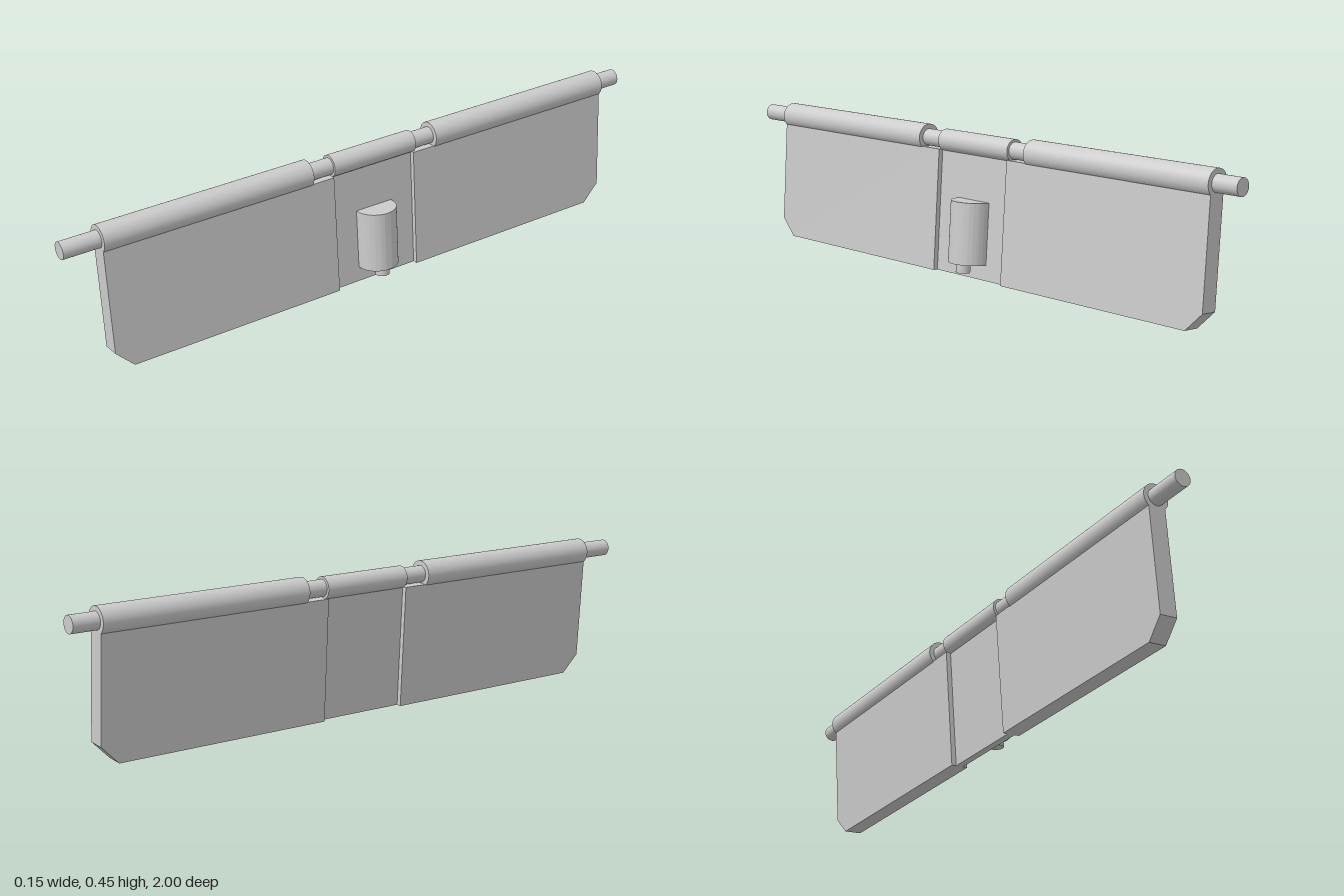
import * as THREE from 'three';
import { toCreasedNormals } from 'three/addons/utils/BufferGeometryUtils.js';

export function createModel() {
  const model = new THREE.Group();
  const material = new THREE.MeshStandardMaterial({ color: 0xcccccc });

  // The whole flap hangs from the rod axis, swung slightly outward
  const flap = new THREE.Group();
  flap.name = 'hingedFlap';
  flap.position.set(-0.034, 0.408, 0);
  flap.rotation.z = 0.065;
  model.add(flap);

  const add = (name, geometry) => {
    const mesh = new THREE.Mesh(geometry, material);
    mesh.name = name;
    flap.add(mesh);
    return mesh;
  };

  // Cylinder lying along z between two ends
  const barrel = (name, radius, z0, z1) => {
    const geometry = new THREE.CylinderGeometry(radius, radius, z1 - z0, 48);
    geometry.rotateX(Math.PI / 2);
    add(name, geometry).position.z = (z0 + z1) / 2;
  };

  // Upright plate from a (z, y) outline, centred on x = 0
  const plate = (name, outline, thickness) => {
    const shape = new THREE.Shape(outline.map(([z, y]) => new THREE.Vector2(z, y)));
    const geometry = new THREE.ExtrudeGeometry(shape, { depth: thickness, bevelEnabled: false });
    geometry.translate(0, 0, -thickness / 2);
    geometry.rotateY(-Math.PI / 2);
    add(name, geometry);
  };

  // Hinge rod and knuckles
  barrel('hingeRod', 0.026, -1, 1);
  barrel('frontKnuckle', 0.041, 0.204, 0.885);
  barrel('rearKnuckle', 0.041, -0.918, -0.242);
  barrel('centreKnuckle', 0.034, -0.17, 0.126);

  // Thick outer panels with a clipped lower corner, thin panel between them
  const top = -0.028, bottom = -0.406, clip = 0.056;
  const outerPanel = (name, inner, outer) => {
    const s = Math.sign(outer);
    plate(name, [
      [inner, top], [inner, bottom], [outer - s * clip, bottom],
      [outer, bottom + clip], [outer, top],
    ], 0.055);
  };
  outerPanel('frontPanel', 0.127, 0.885);
  outerPanel('rearPanel', -0.164, -0.918);
  plate('centrePanel', [[-0.166, top], [-0.166, bottom], [0.129, bottom], [0.129, top]], 0.024);

  // Half-round latch housing on the outer face
  const latchZ = -0.021, latchX = 0.021, latchR = 0.064;
  const profile = new THREE.Shape();
  profile.moveTo(0.008, -latchR);
  profile.lineTo(latchX, -latchR);
  profile.absarc(latchX, 0, latchR, -Math.PI / 2, Math.PI / 2, false);
  profile.lineTo(0.008, latchR);
  profile.closePath();
  const housing = new THREE.ExtrudeGeometry(profile, { depth: 0.19, bevelEnabled: false, curveSegments: 32 });
  housing.rotateX(-Math.PI / 2);
  add('latchHousing', toCreasedNormals(housing, 0.5)).position.set(0, -0.358, latchZ);

  // Plunger under the housing
  add('latchPlunger', new THREE.CylinderGeometry(0.022, 0.022, 0.05, 32))
    .position.set(0.045, -0.362, latchZ);

  return model;
}
